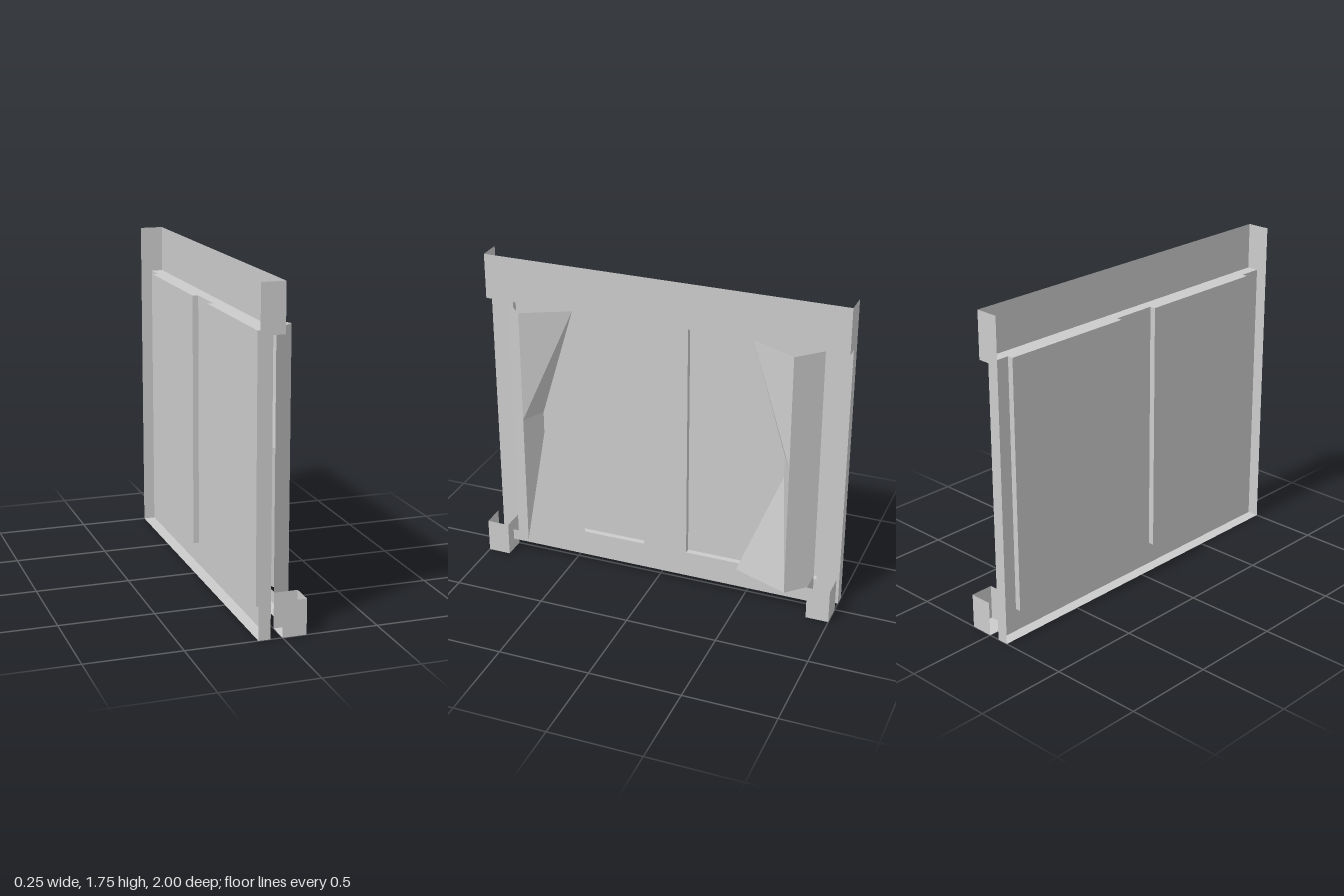
import * as THREE from 'three';

// Open, thin surfaces: everything shows from both sides
const material = new THREE.MeshStandardMaterial({
  color: 0xcccccc, flatShading: true, side: THREE.DoubleSide,
});

// Mesh from convex flat polygons, each a loop of [x, y, z] corners
function sheet(name, polygons) {
  const positions = [];
  for (const p of polygons)
    for (let i = 1; i < p.length - 1; i++) positions.push(...p[0], ...p[i], ...p[i + 1]);
  const geometry = new THREE.BufferGeometry();
  geometry.setAttribute('position', new THREE.Float32BufferAttribute(positions, 3));
  geometry.computeVertexNormals();
  const mesh = new THREE.Mesh(geometry, material);
  mesh.name = name;
  return mesh;
}

// Rectangles across x, y or z
const acrossX = (x, y0, y1, z0, z1) => [[x, y0, z1], [x, y0, z0], [x, y1, z0], [x, y1, z1]];
const acrossY = (y, x0, x1, z0, z1) => [[x0, y, z0], [x0, y, z1], [x1, y, z1], [x1, y, z0]];
const acrossZ = (z, x0, x1, y0, y1) => [[x0, y0, z], [x1, y0, z], [x1, y1, z], [x0, y1, z]];

// Main levels
const BACK = -0.125, FRAME = -0.0625, GLASS = -0.094, FRONT = 0.125;
const SILL = 0.125, LINTEL = 1.5, TOP = 1.75;
const OUT = 0.875, MID = 0.125;

export function createModel() {
  const model = new THREE.Group();
  model.name = 'curtainedWindow';

  // Frame: two posts, a mullion and the wall under the sill
  const posts = [[OUT, 1], [-MID, MID], [-1, -OUT]];
  model.add(sheet('windowFrame', [
    ...posts.map(([a, b]) => acrossX(FRAME, SILL, LINTEL, a, b)),
    acrossX(FRAME, 0, SILL, -1, -OUT),
    acrossX(FRAME, 0, SILL, -OUT, OUT),
    acrossX(FRAME, 0, SILL, OUT, 1),
  ]));
  model.add(sheet('frameBase', [acrossY(0, BACK, FRAME, -1, 1)]));

  // Header over the window, with its underside reaching back to frame and panes
  model.add(sheet('header', [
    acrossX(0, LINTEL, TOP, -1, 1),
    ...posts.map(([a, b]) => acrossY(LINTEL, FRAME, 0, a, b)),
    acrossY(LINTEL, GLASS, 0, MID, OUT),
    acrossY(LINTEL, GLASS, 0, -OUT, -MID),
  ]));

  for (const s of [1, -1]) {
    const side = s > 0 ? 'front' : 'back';

    // Recessed pane with its reveals
    model.add(sheet(side + 'Pane', [
      acrossX(GLASS, SILL, LINTEL, ...(s > 0 ? [MID, OUT] : [-OUT, -MID])),
    ]));
    model.add(sheet(side + 'PaneReveals', [
      acrossZ(s * MID, GLASS, FRAME, SILL, LINTEL),
      acrossZ(s * OUT, GLASS, FRAME, SILL, LINTEL),
      acrossY(SILL, GLASS, FRAME, s * MID, s * OUT),
    ]));

    // End of frame and header
    model.add(sheet(side + 'EndCap', [
      acrossZ(s, BACK, FRAME, 0, LINTEL),
      acrossZ(s, BACK, 0, LINTEL, TOP),
    ]));

    // Curtain: slanted outer panel, inner side gathered at a waist
    const hem = [0, SILL, s * 0.4375], top = [0, LINTEL, s * 0.5];
    const waistLow = [0, 0.75, s * 0.6875], waistHigh = [0, 0.875, s * 0.6875];
    const edge = (y) => [FRONT, y, s * 0.75];
    const outer = (y) => [0, y, s * OUT];
    model.add(sheet(side + 'Curtain', [
      [outer(SILL), edge(SILL), edge(LINTEL), outer(LINTEL)],
      [top, edge(LINTEL), edge(0.875)],
      [top, edge(0.875), waistHigh],
      [waistHigh, edge(0.875), edge(SILL), waistLow],
      [waistLow, edge(SILL), hem],
    ]));

    // Bottom bracket, open at the top and towards the frame
    const h = 0.1875;
    model.add(sheet(side + 'Bracket', [
      acrossX(FRONT, 0, h, s * OUT, s),
      acrossY(0, 0, FRONT, s * OUT, s),
      acrossZ(s, 0, FRONT, 0, h),
      acrossZ(s * OUT, 0, FRONT, 0, h),
    ]));
  }

  // Rail between the brackets: front and underside
  model.add(sheet('bottomRail', [
    acrossX(0.0625, 0.0625, SILL, -OUT, OUT),
    acrossY(0.0625, 0, 0.0625, -OUT, OUT),
  ]));

  return model;
}
